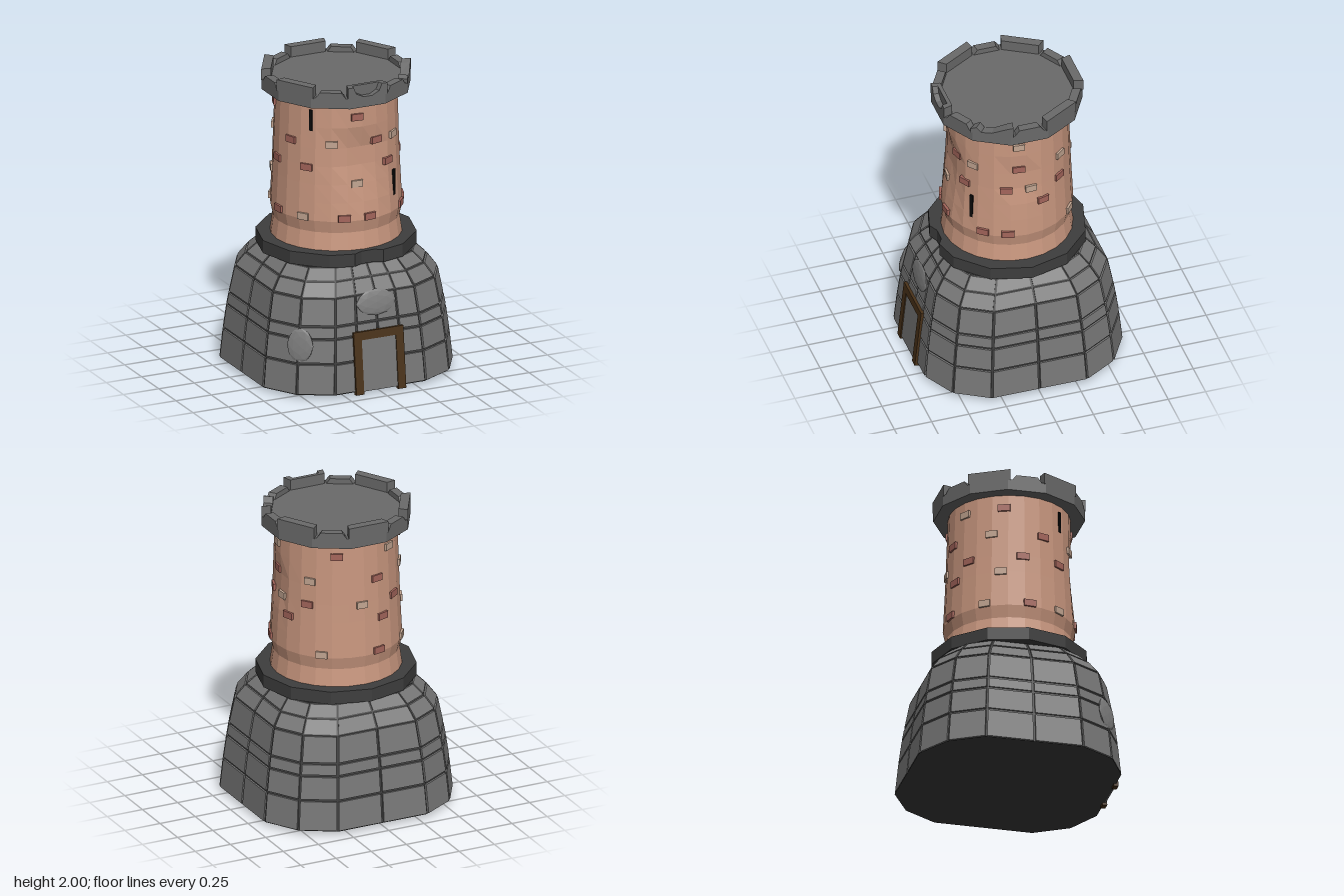
import * as THREE from 'three';

const mat = (color) => new THREE.MeshStandardMaterial({ color, flatShading: true });
const M = {
  stone: mat(0x777777), joint: mat(0x3c3c3c), collar: mat(0x3e3e3e), cap: mat(0x6a6a6a), chip: mat(0x7c7c7c),
  wall: mat(0xc9977f), red: mat(0xa5665c), pale: mat(0xc4a793), wood: mat(0x4a3219), black: mat(0x0a0a0a),
};

function add(parent, name, geometry, material) {
  const mesh = new THREE.Mesh(geometry, material);
  mesh.name = name;
  parent.add(mesh);
  return mesh;
}

// Footing outline (rounded square), from the front round by +x to the front again
const half = [[0, 0.655], [0.16, 0.655], [0.32, 0.655], [0.54, 0.54], [0.67, 0.32], [0.67, 0],
  [0.67, -0.32], [0.54, -0.54], [0.32, -0.67], [0, -0.67]];
const outline = [...half, ...half.slice(1, -1).reverse().map(([x, z]) => [-x, z])];
const rows = [[0.015, 1], [0.22, 0.97], [0.38, 0.94], [0.46, 0.92], [0.64, 0.87], [0.73, 0.775], [0.8, 0.67]];

const ringPoint = (i, [y, s], k = 1) => {
  const [x, z] = outline[i % outline.length];
  return new THREE.Vector3(x * s * k, y, z * s * k);
};

function fromTriangles(points) {
  const g = new THREE.BufferGeometry().setFromPoints(points);
  g.computeVertexNormals();
  return g;
}
const quad = (out, a, b, c, d) => out.push(a, b, c, a, c, d);

// Each footing stone is a four-cornered block with a small gap all round
function footing(parent) {
  const core = [], blocks = [], n = outline.length, gap = 0.004;
  for (let i = 0; i < n; i++) {
    for (let j = 0; j < rows.length - 1; j++) {
      const corners = (k) => [ringPoint(i, rows[j], k), ringPoint(i + 1, rows[j], k),
        ringPoint(i + 1, rows[j + 1], k), ringPoint(i, rows[j + 1], k)];
      const inner = corners(0.982), outer = corners(1);
      quad(core, ...inner);
      const mid = new THREE.Vector3();
      outer.forEach((p) => mid.addScaledVector(p, 0.25));
      const u = gap / outer[0].distanceTo(outer[1]) * 2, v = gap / outer[0].distanceTo(outer[3]) * 2;
      const inset = (q) => {
        const at = (s, t) => q[0].clone().lerp(q[1], s).lerp(q[3].clone().lerp(q[2], s), t);
        return [at(u, v), at(1 - u, v), at(1 - u, 1 - v), at(u, 1 - v)];
      };
      const o = inset(outer), b = inset(inner);
      quad(blocks, ...o);
      for (let e = 0; e < 4; e++) quad(blocks, b[e], b[(e + 1) % 4], o[(e + 1) % 4], o[e]);
    }
    // bottom and top caps
    const lo = rows[0], hi = rows[rows.length - 1];
    core.push(new THREE.Vector3(0, lo[0], 0), ringPoint(i + 1, lo), ringPoint(i, lo));
    core.push(new THREE.Vector3(0, hi[0], 0), ringPoint(i, hi), ringPoint(i + 1, hi));
  }
  add(parent, 'footingCore', fromTriangles(core), M.joint);
  add(parent, 'footingStones', fromTriangles(blocks), M.stone);

  // worn patches in the stonework
  const patch = (x, y, z, w, h, ry, rx) => {
    const p = add(parent, 'wornPatch', new THREE.IcosahedronGeometry(1, 1), M.chip);
    p.scale.set(w, h, 0.014);
    p.rotation.set(rx, ry, 0, 'YXZ');
    p.position.set(x, y, z);
  };
  patch(0, 0.58, 0.583, 0.14, 0.085, 0, -0.2);
  patch(-0.5, 0.34, 0.512, 0.09, 0.11, -0.8, -0.14);
}

// Door: frame and plain panel leaning with the wall
function door(parent) {
  const g = new THREE.Group();
  g.name = 'door';
  g.position.z = 0.658;
  g.rotation.x = -0.105;
  parent.add(g);
  const box = (name, x, y, w, h, d, m) => add(g, name, new THREE.BoxGeometry(w, h, d), m).position.set(x, y, 0);
  for (const s of [-1, 1]) box('doorPost', s * 0.148 - 0.004, 0.205, 0.055, 0.41, 0.03, M.wood);
  box('doorLintel', -0.004, 0.383, 0.35, 0.055, 0.03, M.wood);
  box('doorPanel', -0.004, 0.19, 0.25, 0.345, 0.016, M.stone);
}

// Collar: twelve-sided slab with its front corner broken off
function collar(parent) {
  const pts = [];
  for (let i = 1; i < 12; i++) {
    const a = i * Math.PI / 6;
    pts.push(new THREE.Vector2(0.515 * Math.sin(a), -0.51 * Math.cos(a)));
  }
  pts.push(new THREE.Vector2(-0.1, -0.485), new THREE.Vector2(-0.04, -0.455),
    new THREE.Vector2(0.05, -0.455), new THREE.Vector2(0.1, -0.485));
  const g = new THREE.ExtrudeGeometry(new THREE.Shape(pts), { depth: 0.085, bevelEnabled: false });
  g.rotateX(-Math.PI / 2).translate(0, 0.8, 0);
  add(parent, 'collar', g, M.collar);
}

// Shaft radius at angle a (from +z towards +x) and height y, with worn hollows
const profile = [[0.86, 0.425], [1, 0.405], [1.08, 0.422], [1.2, 0.416], [1.32, 0.41], [1.44, 0.405],
  [1.56, 0.401], [1.7, 0.396], [1.87, 0.39]];
const hollows = [[0, 1.5, 0.045, 0.4, 0.14], [0.1, 1.28, 0.02, 0.4, 0.1], [1.45, 1.5, 0.022, 0.25, 0.12]];
function shaftRadius(a, y) {
  let k = 0;
  while (k < profile.length - 2 && y > profile[k + 1][0]) k++;
  const [y0, r0] = profile[k], [y1, r1] = profile[k + 1];
  let r = r0 + (r1 - r0) * (y - y0) / (y1 - y0);
  for (const [ha, hy, depth, wa, wy] of hollows) r -= depth * Math.exp(-(((a - ha) / wa) ** 2) - ((y - hy) / wy) ** 2);
  return r;
}

function shaft(parent) {
  const g = new THREE.LatheGeometry(profile.map(([y, r]) => new THREE.Vector2(r, y)), 24);
  const p = g.attributes.position;
  for (let i = 0; i < p.count; i++) {
    const a = Math.atan2(p.getX(i), p.getZ(i)), r = shaftRadius(a, p.getY(i));
    p.setXYZ(i, r * Math.sin(a), p.getY(i), r * Math.cos(a));
  }
  g.computeVertexNormals();
  add(parent, 'shaft', g, M.wall);

  const onWall = (name, a, y, w, h, out, m) => {
    const b = add(parent, name, new THREE.BoxGeometry(w, h, 0.04), m);
    const r = shaftRadius(a, y) + out - 0.02;
    b.position.set(r * Math.sin(a), y, r * Math.cos(a));
    b.rotation.y = a;
  };
  // raised bricks: course height, then angles of red and of pale bricks
  const courses = [
    [1.77, [-0.1, 2.69, -1.9], [1.45, -2.6]],
    [1.59, [0.28, 1.45, -1.25, -2.9], [-0.52, 0.68, 2.25, -2.1]],
    [1.43, [-0.93, 0.52, 1.24, 2.21, -1.6, -2.5], [1.65, 3.1]],
    [1.32, [1.85, -2.8], [-0.1, -1.95]],
    [1.1, [-0.32, 0.09, 0.88, 1.27, -1.5, -2.9], [-0.97, 2.46, -2.2]],
  ];
  for (const [y, reds, pales] of courses) {
    for (const a of reds) onWall('redBrick', a, y, 0.08, 0.045, 0.01, M.red);
    for (const a of pales) onWall('paleBrick', a, y, 0.075, 0.045, 0.01, M.pale);
  }
  onWall('arrowSlit', -0.87, 1.745, 0.022, 0.14, 0.004, M.black);
  onWall('arrowSlit', 0.67, 1.265, 0.022, 0.17, 0.004, M.black);
}

// Crown: twelve-sided slab, tall and low battlements in turn
function crown(parent) {
  const apothem = 0.466, side = apothem * Math.tan(Math.PI / 12);
  const slab = new THREE.CylinderGeometry(apothem / Math.cos(Math.PI / 12), apothem / Math.cos(Math.PI / 12), 0.07, 12);
  slab.rotateY(Math.PI / 12).translate(0, 1.895, 0);
  add(parent, 'crownSlab', slab, M.cap);

  const battlement = (name, angle, pts, depth, outer) => {
    const shape = new THREE.Shape(pts.map(([x, y]) => new THREE.Vector2(x, y)));
    const g = new THREE.ExtrudeGeometry(shape, { depth, bevelEnabled: false });
    const p = g.attributes.position;
    for (let i = 0; i < p.count; i++) {
      const z = p.getZ(i) + outer - depth;
      p.setXYZ(i, p.getX(i) * z / apothem, p.getY(i), z);
    }
    g.computeVertexNormals();
    const m = add(parent, name, g, M.cap);
    m.position.y = 1.925;
    m.rotation.y = angle;
  };
  const w = side + 0.015, h = 0.075;
  const tall = [[-w, 0], [w, 0], [w, h], [-w, h]];
  const low = [[-0.1, 0], [0.1, 0], [0.07, 0.04], [-0.07, 0.04]];
  const broken = [[-w, 0], [w, 0], [w, h], [0.1, 0.06], [0, 0.015], [-0.07, 0.01], [-0.1, 0.045], [-w, 0.03]];
  const bitten = [[-w, 0], [w, 0], [w, h], [0.1, h], [0.08, 0.03], [0.03, 0.005], [-0.03, 0.005], [-0.08, 0.03], [-0.1, h], [-w, h]];
  for (let i = 0; i < 12; i++) {
    const a = i * Math.PI / 6;
    if (i % 2) battlement('lowBattlement', a, low, 0.055, apothem);
    else if (i === 2) battlement('brokenBattlement', a, broken, 0.06, apothem);
    else if (i === 0) {
      battlement('bittenBattlement', a, bitten, 0.035, apothem);
      battlement('bittenBattlementBack', a, tall, 0.025, apothem - 0.035);
    } else battlement('tallBattlement', a, tall, 0.06, apothem);
  }
}

export function createModel() {
  const tower = new THREE.Group();
  tower.name = 'tower';
  for (const build of [footing, door, collar, shaft, crown]) build(tower);
  return tower;
}
